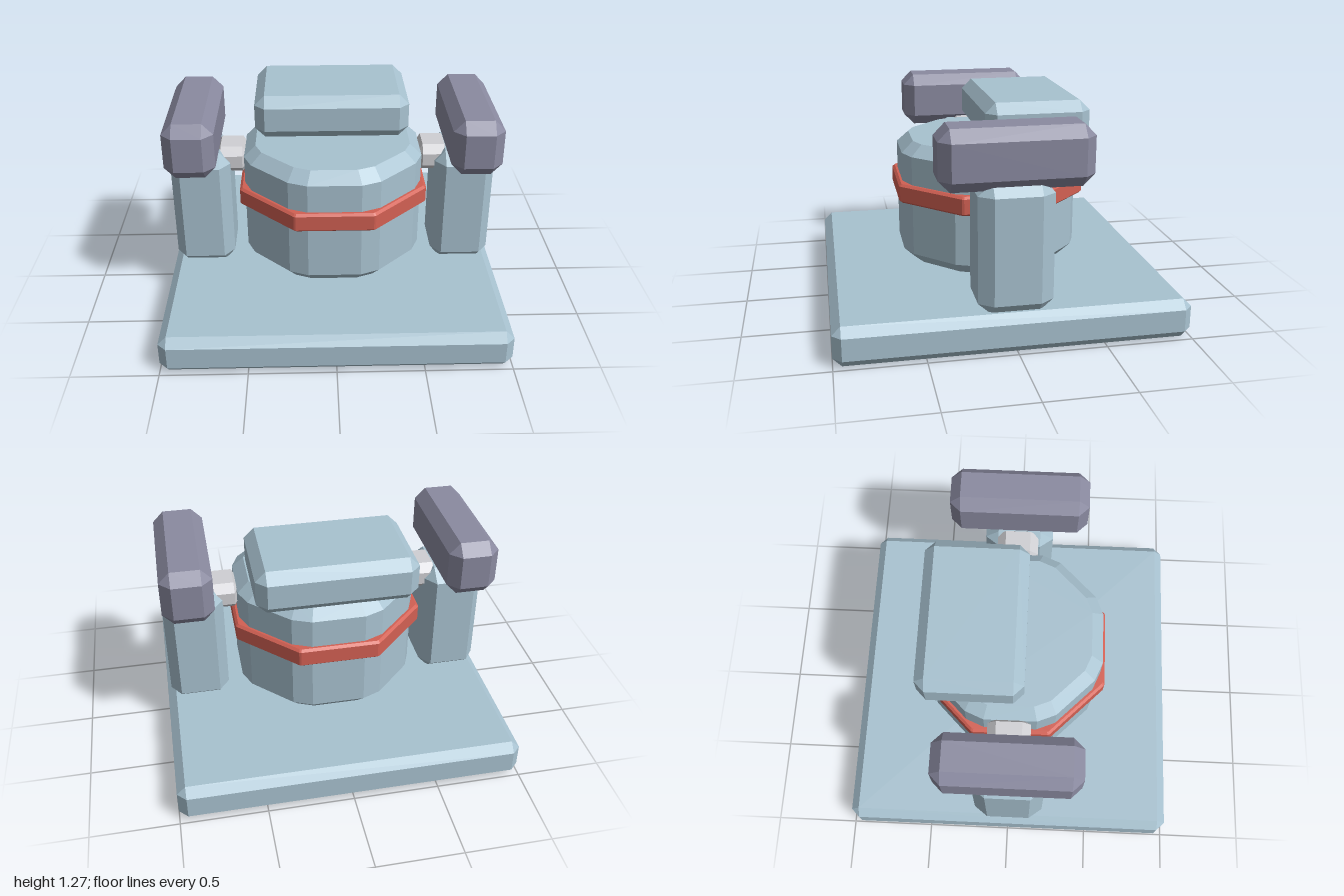
import * as THREE from 'three';
import { ConvexGeometry } from 'three/addons/geometries/ConvexGeometry.js';

const paint = (name, color) => {
  const m = new THREE.MeshStandardMaterial({ color });
  m.name = name;
  return m;
};

// Box with chamfered edges and corners, from min and max corners and a chamfer per axis
function chamferBox(min, max, c) {
  const points = [];
  const at = (axis, s, inset) => (s > 0 ? max[axis] - inset : min[axis] + inset);
  for (const sx of [-1, 1]) for (const sy of [-1, 1]) for (const sz of [-1, 1]) {
    const s = [sx, sy, sz];
    for (let face = 0; face < 3; face++) {
      points.push(new THREE.Vector3(...s.map((v, i) => at(i, v, i === face ? 0 : c[i]))));
    }
  }
  return new ConvexGeometry(points);
}

// Octagonal drum with trimmed corners; rings are [y, apothem], cut is the corner trim
function octagonDrum(rings, cut) {
  const points = [];
  for (const [y, apothem] of rings) {
    const half = apothem * (Math.tan(Math.PI / 8) - cut);
    for (let i = 0; i < 8; i++) {
      const a = (i * Math.PI) / 4;
      for (const t of [-half, half]) {
        points.push(new THREE.Vector3(
          apothem * Math.cos(a) - t * Math.sin(a), y,
          apothem * Math.sin(a) + t * Math.cos(a)));
      }
    }
  }
  return new ConvexGeometry(points);
}

export function createModel() {
  const model = new THREE.Group();
  model.name = 'turret';
  const steel = paint('pale blue steel', 0xa8c2d0);
  const gunmetal = paint('purple gunmetal', 0x8a8aa0);
  const red = paint('red band', 0xd26053);
  const grey = paint('light grey', 0xd0d0d4);

  const add = (name, geometry, material, parent = model) => {
    const mesh = new THREE.Mesh(geometry, material);
    mesh.name = name;
    parent.add(mesh);
  };

  // Ground plate
  add('basePlate', chamferBox([-1, 0, -1], [1, 0.23, 1], [0.05, 0.05, 0.05]), steel);

  // Central drum with its band and the roof block set towards the back
  add('drum', octagonDrum([[0.27, 0.46], [0.34, 0.53], [0.94, 0.53], [1.005, 0.46]], 0.122), steel);
  add('drumBand', octagonDrum([[0.655, 0.543], [0.668, 0.558], [0.757, 0.558], [0.77, 0.543]], 0.012), red);
  add('roofBlock', chamferBox([-0.465, 1.005, -0.54], [0.46, 1.27, 0.075], [0.06, 0.06, 0.06]), steel);

  // Column, arm and barrel on each side
  for (const [name, s] of [['left', 1], ['right', -1]]) {
    const side = new THREE.Group();
    side.name = name + 'Mount';
    model.add(side);
    const box = (x0, x1, y0, y1, z0, z1, c) =>
      chamferBox([Math.min(s * x0, s * x1), y0, z0], [Math.max(s * x0, s * x1), y1, z1], c);
    add(name + 'Column', box(0.617, 0.975, 0.21, 0.955, -0.207, 0.213, [0.06, 0.07, 0.08]), steel, side);
    add(name + 'Arm', box(0.52, 0.7, 0.805, 0.97, -0.13, 0.122, [0.025, 0.045, 0.05]), grey, side);
    add(name + 'Barrel', box(0.678, 0.974, 0.912, 1.25, -0.42, 0.42, [0.063, 0.066, 0.064]), gunmetal, side);
  }
  return model;
}
